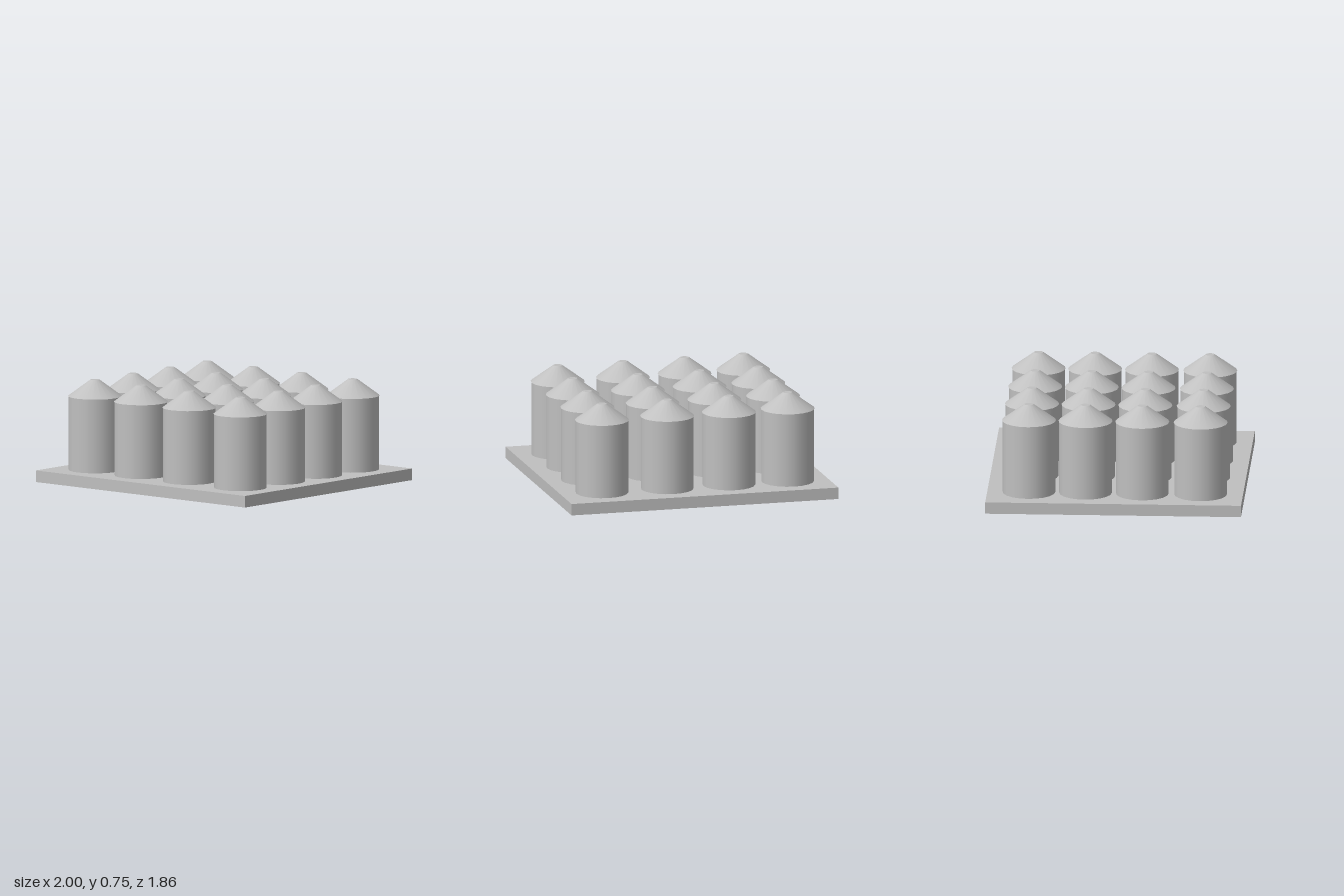
import * as THREE from 'three';

export function createModel() {
  const model = new THREE.Group();
  model.name = 'siloFarm';
  const concrete = new THREE.MeshStandardMaterial({ color: 0xc0c0c0, side: THREE.DoubleSide });
  concrete.name = 'lightGrey';

  const add = (parent, name, geometry, y) => {
    const mesh = new THREE.Mesh(geometry, concrete);
    mesh.name = name;
    mesh.position.y = y;
    parent.add(mesh);
    return mesh;
  };

  // Hollow base slab: deck and four thin walls, open underneath
  const W = 2, D = 1.855, H = 0.085;
  const slab = new THREE.Group();
  slab.name = 'base';
  model.add(slab);
  add(slab, 'deck', new THREE.PlaneGeometry(W, D).rotateX(-Math.PI / 2), H);
  for (let i = 0; i < 4; i++) {
    const alongX = i % 2 === 0;
    const wall = new THREE.PlaneGeometry(alongX ? W : D, H);
    wall.translate(0, 0, (alongX ? D : W) / 2).rotateY(i * Math.PI / 2);
    add(slab, 'baseWall', wall, H / 2);
  }

  // Shared silo parts; the body reaches slightly through the deck
  const sides = 20, eaveY = 0.625, topY = 0.745, footY = 0.07;
  const bodyGeo = new THREE.CylinderGeometry(0.191, 0.191, eaveY - footY, sides, 1, true);
  const roofGeo = new THREE.CylinderGeometry(0.033, 0.196, topY - eaveY, sides, 1, true);
  const capGeo = new THREE.CircleGeometry(0.033, sides).rotateX(-Math.PI / 2);

  // Four by four grid of silos
  for (const x of [-0.7, -0.26, 0.203, 0.692]) {
    for (const z of [-0.625, -0.215, 0.197, 0.62]) {
      const silo = new THREE.Group();
      silo.name = 'silo';
      silo.position.set(x, 0, z);
      add(silo, 'siloBody', bodyGeo, (eaveY + footY) / 2);
      add(silo, 'siloRoof', roofGeo, (eaveY + topY) / 2);
      add(silo, 'roofCap', capGeo, topY);
      model.add(silo);
    }
  }
  return model;
}
